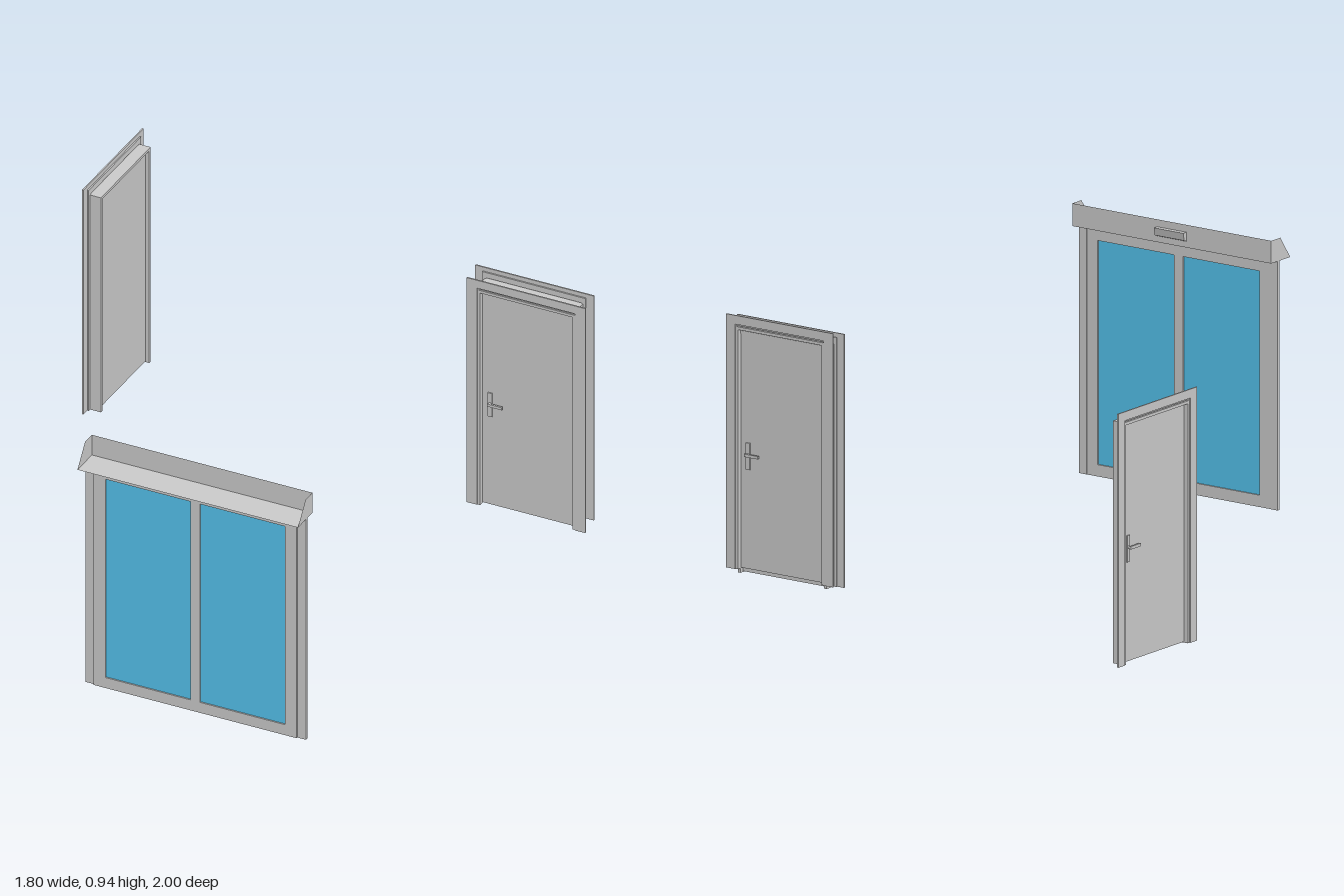
import * as THREE from 'three';

const grey = new THREE.MeshStandardMaterial({ color: 0xcccccc });
const sheet = new THREE.MeshStandardMaterial({ color: 0xcccccc, side: THREE.DoubleSide });
const blue = new THREE.MeshStandardMaterial({ color: 0x55c4ee });

function add(parent, name, geometry, material = grey) {
  const mesh = new THREE.Mesh(geometry, material);
  mesh.name = name;
  parent.add(mesh);
  return mesh;
}

// Box given by its minimum and maximum corners
function box(parent, name, [x0, y0, z0], [x1, y1, z1], material) {
  const mesh = add(parent, name, new THREE.BoxGeometry(x1 - x0, y1 - y0, z1 - z0), material);
  mesh.position.set((x0 + x1) / 2, (y0 + y1) / 2, (z0 + z1) / 2);
  return mesh;
}

function polygon(points) {
  return new THREE.Shape(points.map(([x, y]) => new THREE.Vector2(x, y)));
}

function extrude(shape, depth) {
  return new THREE.ExtrudeGeometry(shape, { depth, bevelEnabled: false });
}

// Three-sided surround that is open at the floor, from z = back to z = front
function surround(parent, name, half, top, innerHalf, innerTop, back, front) {
  const shape = polygon([
    [-half, 0], [-innerHalf, 0], [-innerHalf, innerTop], [innerHalf, innerTop],
    [innerHalf, 0], [half, 0], [half, top], [-half, top],
  ]);
  add(parent, name, extrude(shape, front - back)).position.z = back;
}

// Hinged door with its trim facing local +z
function hingedDoor(name) {
  const door = new THREE.Group();
  door.name = name;
  surround(door, 'trim', 0.218, 0.86, 0.18, 0.83, -0.005, 0);
  surround(door, 'trimStep', 0.19, 0.845, 0.175, 0.825, -0.01, -0.004);
  surround(door, 'jamb', 0.18, 0.822, 0.17, 0.812, -0.05, -0.003);
  box(door, 'leaf', [-0.17, 0.003, -0.036], [0.17, 0.812, -0.019]);

  // Handle
  const handle = new THREE.Group();
  handle.name = 'handle';
  handle.position.set(-0.14, 0.39, -0.019);
  box(handle, 'handlePlate', [-0.008, -0.05, 0], [0.008, 0.04, 0.004]);
  const neck = add(handle, 'handleNeck', new THREE.CylinderGeometry(0.005, 0.005, 0.014, 10));
  neck.rotation.x = Math.PI / 2;
  neck.position.z = 0.009;
  box(handle, 'handleLever', [-0.005, -0.005, 0.01], [0.05, 0.005, 0.017]);
  door.add(handle);
  return door;
}

// Flat four-cornered sheet
function quad(a, b, c, d) {
  const geometry = new THREE.BufferGeometry();
  geometry.setAttribute('position', new THREE.Float32BufferAttribute([...a, ...b, ...c, ...d], 3));
  geometry.setIndex([0, 1, 2, 0, 2, 3]);
  geometry.computeVertexNormals();
  return geometry;
}

function slidingDoor() {
  const door = new THREE.Group();
  door.name = 'slidingDoor';
  const x0 = -0.125, x1 = 0.685, y0 = 0.015, y1 = 0.86;

  // Side posts
  box(door, 'rightPost', [x0, y0, 0.931], [x0 + 0.032, y1, 0.941]);
  box(door, 'leftPost', [x1 - 0.032, y0, 0.931], [x1, y1, 0.941]);

  // Glazed frame with two panes
  const frame = polygon([[-0.093, y0], [0.653, y0], [0.653, y1], [-0.093, y1]]);
  for (const [a, b] of [[-0.05, 0.262], [0.298, 0.61]]) {
    frame.holes.push(polygon([[a, 0.055], [a, 0.815], [b, 0.815], [b, 0.055]]));
    box(door, 'glass', [a, 0.055, 0.937], [b, 0.815, 0.941], blue);
  }
  add(door, 'glazedFrame', extrude(frame, 0.014)).position.z = 0.932;

  // Open hood: back wall, floor and two sloped end plates
  const z0 = 0.895, z1 = 1, top = 0.937;
  const hood = new THREE.Group();
  hood.name = 'hood';
  add(hood, 'hoodBack', quad([x0, y1, z0], [x1, y1, z0], [x1, top, z0], [x0, top, z0]), sheet);
  add(hood, 'hoodFloor', quad([x0, y1, z1], [x1, y1, z1], [x1, y1, z0], [x0, y1, z0]), sheet);
  for (const x of [x0, x1]) {
    add(hood, 'hoodEnd', quad([x, y1, z1], [x, y1, z0], [x, top, z0], [x, top, 0.945]), sheet);
  }
  door.add(hood);

  // Motion sensor on the back of the hood
  const profile = polygon([[-0.895, 0.881], [-0.882, 0.886], [-0.877, 0.912], [-0.895, 0.912]]);
  const sensor = add(door, 'sensor', extrude(profile, 0.12));
  sensor.rotation.y = Math.PI / 2;
  sensor.position.x = 0.22;
  return door;
}

export function createModel() {
  const model = new THREE.Group();
  model.name = 'doorSet';
  model.add(slidingDoor());

  // Two hinged doors back to back
  const front = hingedDoor('frontHingedDoor');
  front.position.set(0.682, 0, -0.66);
  const back = hingedDoor('backHingedDoor');
  back.position.set(0.682, 0.015, -0.727);
  back.rotation.y = Math.PI;

  // Single hinged door turned to the right
  const side = hingedDoor('sideHingedDoor');
  side.position.set(-0.9, 0.015, -0.782);
  side.rotation.y = -Math.PI / 2;

  model.add(front, back, side);
  return model;
}
